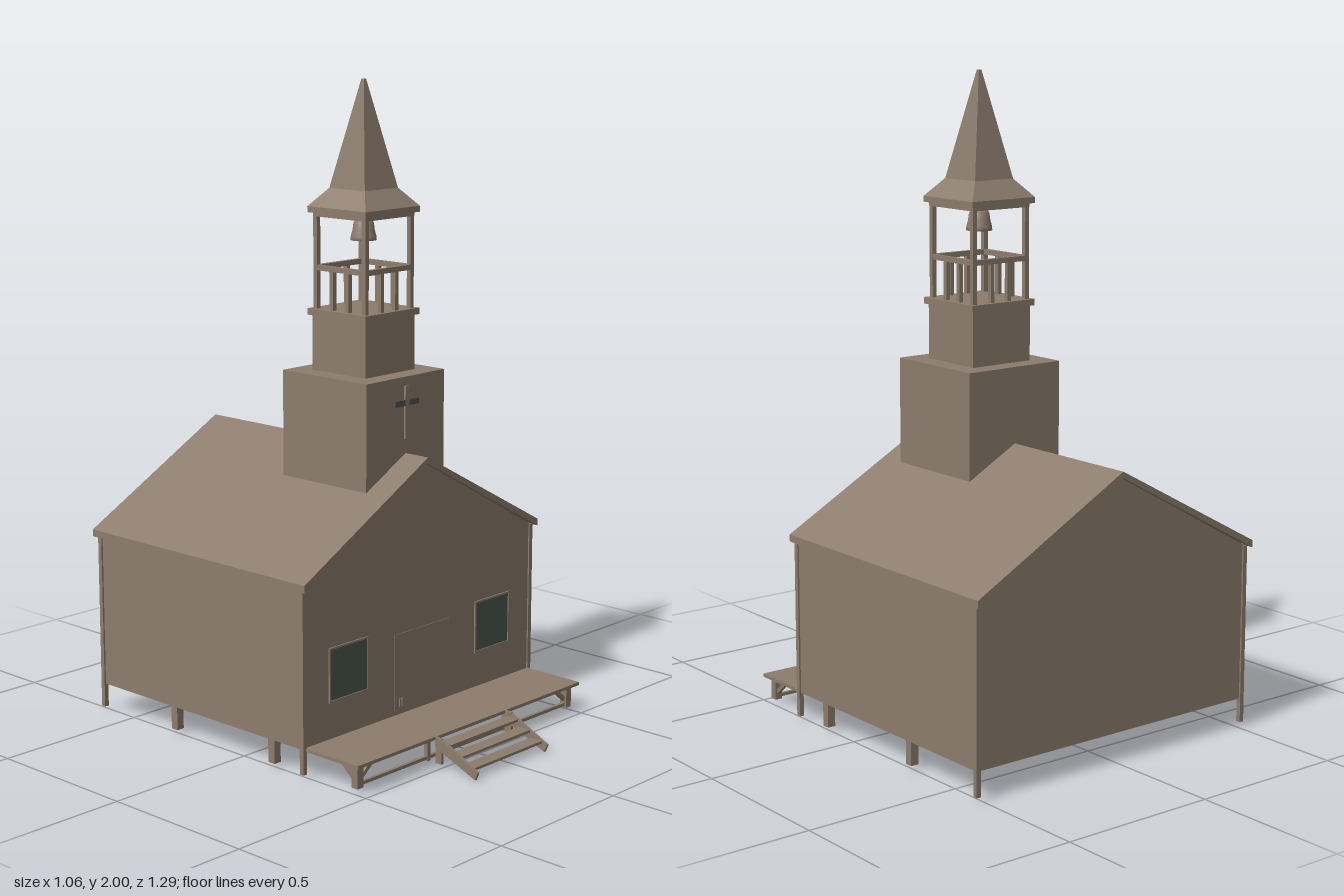
import * as THREE from 'three';

const wood = new THREE.MeshStandardMaterial({ color: 0x8c7c6d });
wood.name = 'weatheredWood';
const glass = new THREE.MeshStandardMaterial({ color: 0x4b5650 });
glass.name = 'darkGlass';

export function createModel() {
  const root = new THREE.Group();
  root.name = 'chapel';

  const add = (name, geo, mat = wood, parent = root) => {
    const m = new THREE.Mesh(geo, mat);
    m.name = name;
    parent.add(m);
    return m;
  };
  const group = (name) => {
    const g = new THREE.Group();
    g.name = name;
    root.add(g);
    return g;
  };
  // Box given by its limits on each axis
  const box = (name, x0, x1, y0, y1, z0, z1, parent = root, mat = wood) => {
    const m = add(name, new THREE.BoxGeometry(x1 - x0, y1 - y0, z1 - z0), mat, parent);
    m.position.set((x0 + x1) / 2, (y0 + y1) / 2, (z0 + z1) / 2);
    return m;
  };
  // Square post centred on x, z
  const post = (name, x, z, y0, y1, w, parent = root) =>
    box(name, x - w / 2, x + w / 2, y0, y1, z - w / 2, z + w / 2, parent);
  // Square bar between two points
  const bar = (name, a, b, w, parent = root) => {
    const p = new THREE.Vector3(...a), q = new THREE.Vector3(...b);
    const m = add(name, new THREE.BoxGeometry(w, w, p.distanceTo(q)), wood, parent);
    m.position.copy(p).add(q).multiplyScalar(0.5);
    m.lookAt(q);
    return m;
  };
  const extrude = (pts, depth) => new THREE.ExtrudeGeometry(
    new THREE.Shape(pts.map(([x, y]) => new THREE.Vector2(x, y))), { depth, bevelEnabled: false });
  // Flat-faced square frustum
  const frustum = (name, top, bottom, y0, y1, parent) => {
    const geo = new THREE.CylinderGeometry(top * Math.SQRT2, bottom * Math.SQRT2, y1 - y0, 4)
      .rotateY(Math.PI / 4).toNonIndexed();
    geo.computeVertexNormals();
    const m = add(name, geo, wood, parent);
    m.position.set(0, (y0 + y1) / 2, 0);
    return m;
  };

  // Hollow hall, open underneath
  const hall = group('hall');
  const gable = [[-0.515, 0.095], [0.515, 0.095], [0.515, 0.58], [0, 0.868], [-0.515, 0.58]];
  add('frontWall', extrude(gable, 0.004), wood, hall).position.z = 0.264;
  add('backWall', extrude(gable, 0.004), wood, hall).position.z = -0.622;
  for (const s of [-1, 1]) {
    const x = s * 0.515;
    box('sideWall', x - 0.002, x + 0.002, 0.095, 0.585, -0.62, 0.268, hall);
    for (const z of [0.265, -0.62]) post('cornerPost', x, z, 0.02, 0.58, 0.015, hall);
    for (const z of [0.13, -0.295]) post('pier', s * 0.5, z, 0.02, 0.11, 0.026, hall);
  }

  // Pitched roof
  const roofShape = [[-0.53, 0.575], [0, 0.866], [0.53, 0.575], [0.53, 0.597], [0, 0.885], [-0.53, 0.597]];
  add('roof', extrude(roofShape, 0.93)).position.z = -0.643;

  // Door and windows
  box('door', -0.125, 0.125, 0.115, 0.355, 0.262, 0.27);
  for (const x of [-0.104, -0.094]) box('doorHandle', x - 0.003, x + 0.003, 0.125, 0.15, 0.27, 0.275);
  for (const s of [-1, 1]) {
    const win = group('window');
    win.position.x = s * 0.328;
    box('windowPane', -0.08, 0.08, 0.217, 0.375, 0.262, 0.27, win, glass);
    for (const t of [-1, 1]) {
      box('windowJamb', t * 0.081 - 0.003, t * 0.081 + 0.003, 0.212, 0.38, 0.262, 0.273, win);
      const y = 0.296 + t * 0.081;
      box('windowRail', -0.084, 0.084, y - 0.003, y + 0.003, 0.262, 0.273, win);
    }
  }

  // Porch deck with its supports
  const porch = group('porch');
  box('deck', -0.512, 0.512, 0.09, 0.1, 0.266, 0.48, porch);
  bar('lowBeam', [-0.48, 0.03, 0.45], [0.48, 0.03, 0.45], 0.01, porch);
  for (const s of [-1, 1]) {
    post('porchPost', s * 0.482, 0.45, 0.02, 0.092, 0.024, porch);
    bar('sideBrace', [s * 0.475, 0.045, 0.45], [s * 0.415, 0.093, 0.45], 0.012, porch);
    bar('rearBrace', [s * 0.482, 0.04, 0.445], [s * 0.482, 0.093, 0.385], 0.012, porch);
  }
  post('middlePost', 0.18, 0.45, 0.02, 0.092, 0.014, porch);
  post('middlePost', -0.18, 0.45, 0.02, 0.092, 0.014, porch);

  // Stairs
  const stairs = group('stairs');
  for (const x of [-0.175, 0.147]) {
    const side = extrude([[-0.645, 0.03], [-0.635, 0.005], [-0.5, 0.06], [-0.48, 0.068],
      [-0.48, 0.1], [-0.5, 0.098]], 0.008);
    const m = add('stringer', side, wood, stairs);
    m.rotation.y = Math.PI / 2;
    m.position.x = x - 0.004;
    box('stairPost', x - 0.005, x + 0.005, 0.02, 0.098, 0.483, 0.505, stairs);
  }
  for (let i = 0; i < 3; i++) {
    const y = 0.08 - i * 0.023, z = 0.488 + i * 0.047;
    box('tread', -0.175, 0.147, y - 0.004, y + 0.004, z, z + 0.044, stairs);
  }

  // Steeple, built around its own axis
  const steeple = group('steeple');
  steeple.position.z = 0.022;
  box('lowerTower', -0.174, 0.174, 0.785, 1.12, -0.174, 0.174, steeple);
  box('upperTower', -0.11, 0.11, 1.12, 1.29, -0.11, 0.11, steeple);
  box('belfryFloor', -0.12, 0.12, 1.29, 1.31, -0.12, 0.12, steeple);
  box('crossUpright', -0.008, 0.008, 0.93, 1.092, 0.174, 0.181, steeple);
  box('crossArm', -0.052, 0.052, 1.032, 1.05, 0.174, 0.18, steeple, glass);

  // Belfry posts, rails and balusters, one side at a time
  for (let i = 0; i < 4; i++) {
    const side = new THREE.Group();
    side.name = 'belfrySide';
    side.rotation.y = i * Math.PI / 2;
    steeple.add(side);
    post('belfryPost', 0.1, 0.1, 1.31, 1.6, 0.015, side);
    box('belfryRail', -0.1, 0.1, 1.427, 1.443, 0.093, 0.107, side);
    for (const x of [-0.032, 0.032]) post('baluster', x, 0.1, 1.31, 1.43, 0.014, side);
  }

  // Bell hanging from the spire
  const bellProfile = [[0.034, 1.518], [0.04, 1.518], [0.039, 1.53], [0.034, 1.548], [0.031, 1.57],
    [0.022, 1.585], [0, 1.592]].map(([r, y]) => new THREE.Vector2(r, y));
  add('bell', new THREE.LatheGeometry(bellProfile, 20), wood, steeple);
  const bellBase = add('bellBase', new THREE.CylinderGeometry(0.038, 0.038, 0.004, 20), wood, steeple);
  bellBase.position.y = 1.52;
  post('bellHanger', 0, 0, 1.585, 1.605, 0.012, steeple);

  // Flared spire
  box('spireCeiling', -0.108, 0.108, 1.59, 1.603, -0.108, 0.108, steeple);
  box('spireBase', -0.12, 0.12, 1.602, 1.62, -0.12, 0.12, steeple);
  frustum('spireFlare', 0.073, 0.12, 1.62, 1.675, steeple);
  frustum('spire', 0.005, 0.073, 1.675, 2.0, steeple);

  return root;
}
